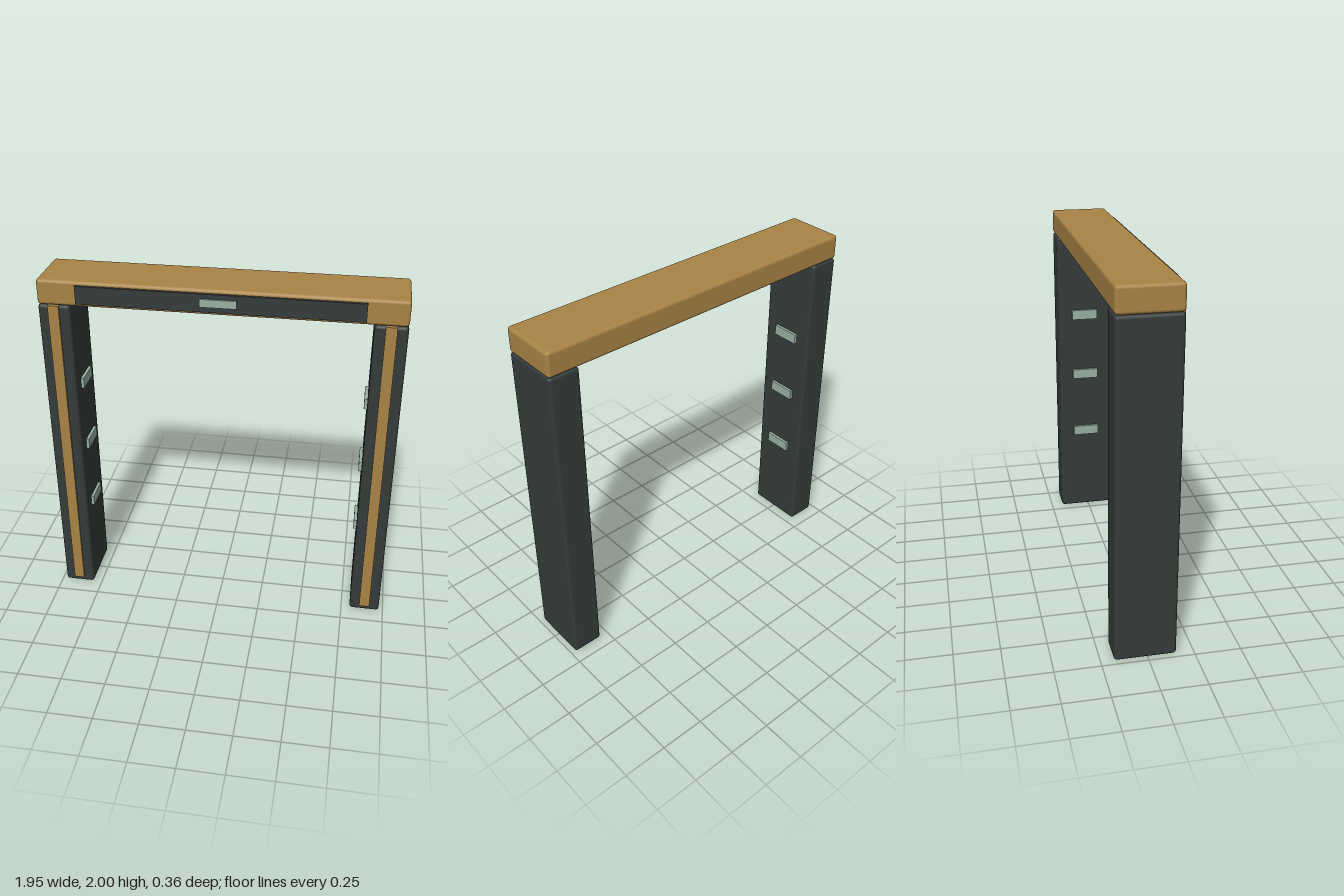
import * as THREE from 'three';
import { RoundedBoxGeometry } from 'three/addons/geometries/RoundedBoxGeometry.js';

export function createModel() {
  const model = new THREE.Group();
  model.name = 'gateway';

  const mat = (name, color) => {
    const m = new THREE.MeshStandardMaterial({ color });
    m.name = name;
    return m;
  };
  const wood = mat('ochre', 0xa88345);
  const dark = mat('charcoal', 0x343a3a);
  const pale = mat('paleGreen', 0x98b0a4);

  const add = (name, geometry, material, x, y, z, parent = model) => {
    const mesh = new THREE.Mesh(geometry, material);
    mesh.name = name;
    mesh.position.set(x, y, z);
    parent.add(mesh);
  };
  const rounded = (w, h, d) => new RoundedBoxGeometry(w, h, d, 3, 0.018);
  const box = (w, h, d) => new THREE.BoxGeometry(w, h, d);

  const depth = 0.335, midZ = -0.0125, frontZ = midZ + depth / 2;

  // Posts with a front trim strip and three inward-facing sensors
  for (const [side, s] of [['left', 1], ['right', -1]]) {
    const post = new THREE.Group();
    post.name = side + 'Post';
    add('postBody', rounded(0.175, 1.86, depth), dark, s * 0.8875, 0.93, midZ, post);
    add('trimStrip', box(0.06, 1.825, 0.02), wood, s * 0.8875, 0.9475, frontZ + 0.001, post);
    for (const y of [0.56, 0.96, 1.36]) {
      add('sensor', box(0.03, 0.06, 0.16), pale, s * 0.798, y, midZ, post);
    }
    model.add(post);
  }

  // Crossbeam with its display panel and indicator light
  add('crossbeam', rounded(1.95, 0.14, depth), wood, 0, 1.93, midZ);
  add('displayPanel', box(1.52, 0.1, 0.025), dark, 0, 1.93, frontZ + 0.0025);
  add('indicator', box(0.195, 0.043, 0.02), pale, 0, 1.933, 0.17);

  return model;
}
